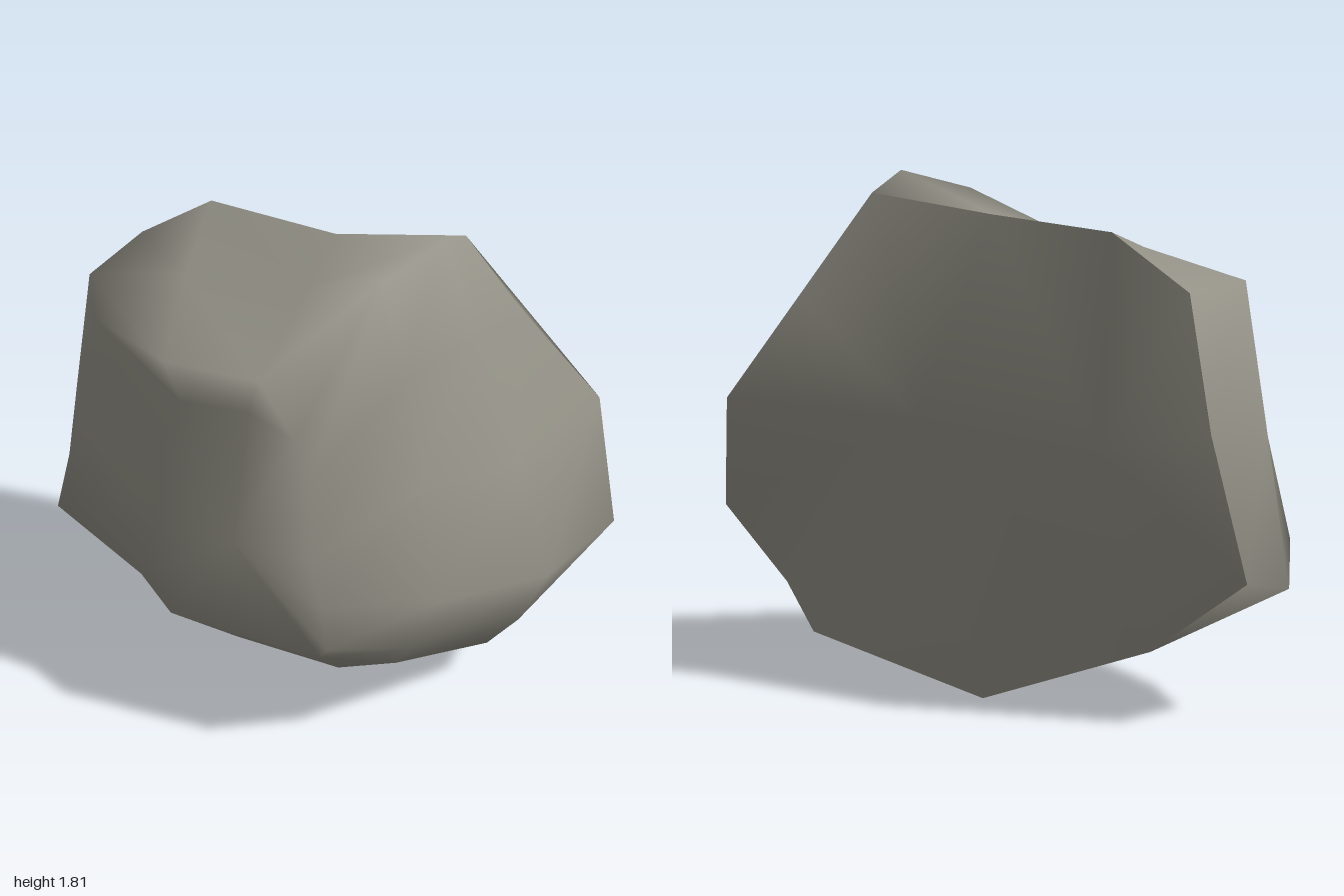
import * as THREE from 'three';
import { mergeVertices } from 'three/addons/utils/BufferGeometryUtils.js';

// Cross-section loops, clockwise from the peak, going from the back rim forward
const rim = [
  [.42, 1.74, -.32], [.62, 1.46, -.37], [.87, 1.03, -.57], [1, .61, -.43], [.775, .34, -.375],
  [.65, .175, -.39], [.01, 0, -.28], [-.6, .24, -.205], [-.95, .52, -.21], [-.86, 1.02, -.31],
  [-.79, 1.47, -.335], [-.52, 1.65, -.35], [-.02, 1.68, -.26],
];
const waist = [
  [.4, 1.81, -.17], [.53, 1.5, -.12], [.74, 1.05, -.06], [.88, .66, 0], [.78, .4, -.02],
  [.65, .175, -.1], [.03, .12, 0], [-.68, .29, -.09], [-1, .46, .02], [-.915, 1, 0],
  [-.83, 1.48, 0], [-.46, 1.57, 0], [-.02, 1.62, 0],
];
const shoulder = [
  [.26, 1.74, .06], [.37, 1.45, .15], [.49, 1.1, .26], [.61, .75, .37], [.51, .5, .37],
  [.42, .3, .25], [.22, .25, .3], [-.18, .245, .28], [-.92, .58, .21], [-.81, 1, .21],
  [-.71, 1.45, .2], [-.37, 1.48, .38], [-.015, 1.52, .42],
];
const face = [
  [.11, 1.32, .425], [.16, 1.18, .44], [.19, .9, .505], [.24, .72, .52], [.27, .56, .54],
  [.24, .51, .53], [.1, .52, .545], [-.3, .56, .565], [-.45, .62, .48], [-.37, .88, .49],
  [-.36, 1.18, .445], [-.3, 1.36, .41], [-.05, 1.4, .435],
];

// Joins consecutive loops into one smooth skin
function skin(loops) {
  const n = rim.length;
  const index = [];
  for (let r = 0; r < loops.length - 1; r++) {
    for (let i = 0; i < n; i++) {
      const j = (i + 1) % n;
      const a = r * n + i, b = r * n + j, c = a + n, d = b + n;
      index.push(a, c, d, a, d, b);
    }
  }
  let geometry = new THREE.BufferGeometry();
  geometry.setAttribute('position', new THREE.Float32BufferAttribute(loops.flat(2), 3));
  geometry.setIndex(index);
  geometry = mergeVertices(geometry, 1e-4);
  geometry.computeVertexNormals();
  return geometry;
}

export function createModel() {
  const stone = new THREE.MeshStandardMaterial({ color: 0x939186 });
  stone.name = 'warm grey stone';
  const rock = new THREE.Group();
  rock.name = 'rock';

  const add = (name, loops) => {
    const mesh = new THREE.Mesh(skin(loops), stone);
    mesh.name = name;
    rock.add(mesh);
  };

  // Rounded front and sides, closed at a point in the middle of the front
  add('roundedBody', [rim, waist, shoulder, face, rim.map(() => [-.08, .9, .51])]);

  // Nearly flat back: facets fan out from a short central ridge,
  // with a straight edge from the top corner to the rear tip
  const ridge = rim.map(([x]) => (x > -.1 ? [.17, 1, -.44] : [-.52, .95, -.42]));
  const backEdge = rim.map((p, i) => (i === 1 ? [.645, 1.385, -.445] : p));
  add('flatBack', [ridge, backEdge, rim]);

  return rock;
}
